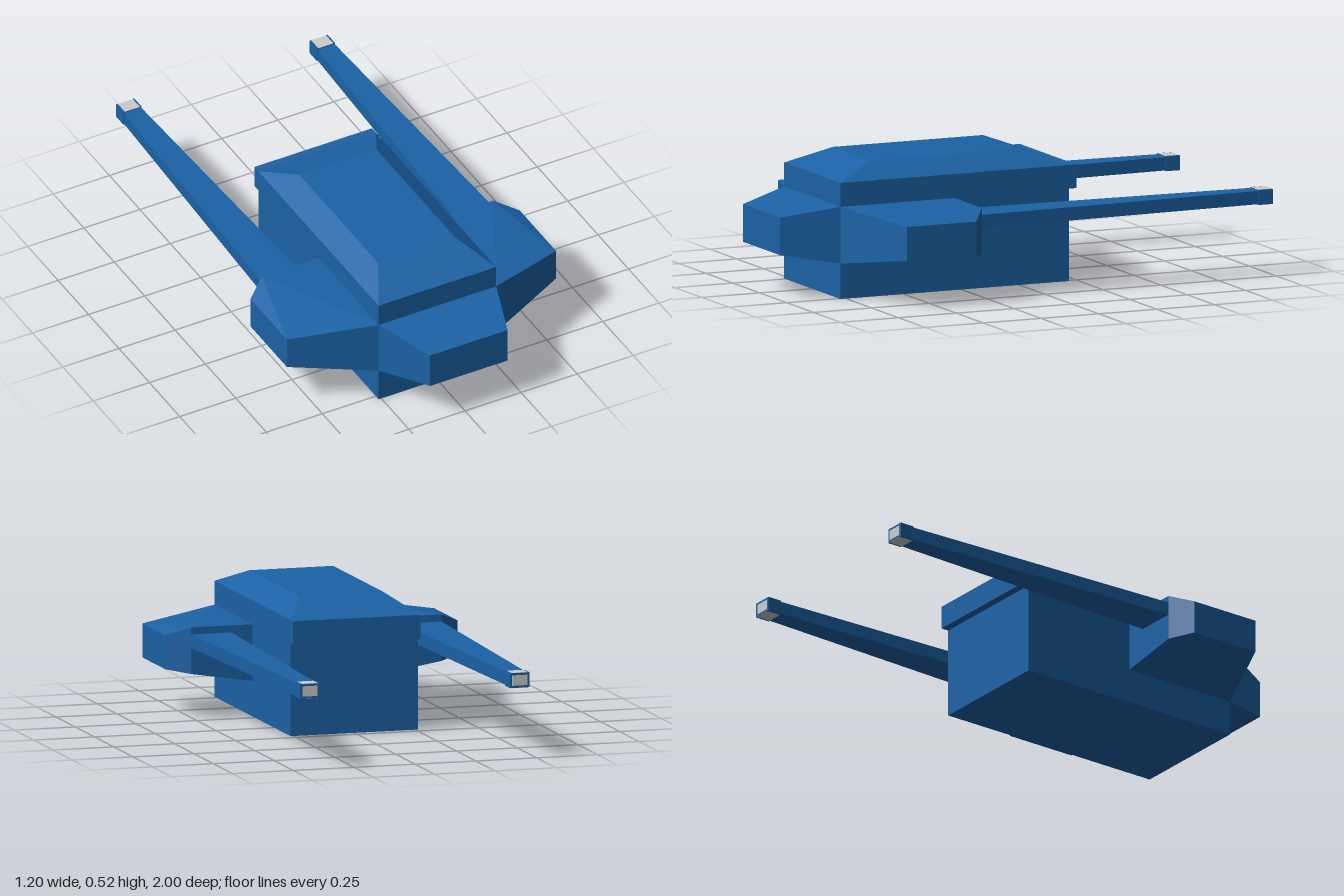
import * as THREE from 'three';
import { ConvexGeometry } from 'three/addons/geometries/ConvexGeometry.js';

const blue = new THREE.MeshStandardMaterial({ color: 0x1b62a5, flatShading: true });
const grey = new THREE.MeshStandardMaterial({ color: 0xcccccc, flatShading: true });

// Flat-faced solid spanning the given corner points
function solid(name, points, material = blue) {
  const mesh = new THREE.Mesh(new ConvexGeometry(points.map((p) => new THREE.Vector3(...p))), material);
  mesh.name = name;
  return mesh;
}

// Box between two opposite corners
function block(name, [x0, y0, z0], [x1, y1, z1], material = blue) {
  const mesh = new THREE.Mesh(new THREE.BoxGeometry(x1 - x0, y1 - y0, z1 - z0), material);
  mesh.position.set((x0 + x1) / 2, (y0 + y1) / 2, (z0 + z1) / 2);
  mesh.name = name;
  return mesh;
}

// Corner points of a rectangle at a fixed z, y or x
const rectZ = (z, x0, x1, y0, y1) => [[x0, y0, z], [x1, y0, z], [x1, y1, z], [x0, y1, z]];
const rectY = (y, x0, x1, z0, z1) => [[x0, y, z0], [x1, y, z0], [x1, y, z1], [x0, y, z1]];
const rectX = (x, y0, y1, z0, z1) => [[x, y0, z0], [x, y1, z0], [x, y1, z1], [x, y0, z1]];

export function createModel() {
  const group = new THREE.Group();
  const w = 0.262;

  // Hull, overhanging roof slab and bevelled roof
  group.add(block('hull', [-w, 0, -0.215], [w, 0.367, 0.773]));
  group.add(block('roofSlab', [-w, 0.367, -0.247], [w, 0.461, 0.773]));
  group.add(solid('roof', [
    ...rectY(0.461, -w, w, -0.215, 0.773),
    ...rectY(0.525, -0.172, 0.172, -0.045, 0.603),
  ]));

  // Tapered nose block
  group.add(solid('nose', [
    ...rectZ(0.773, -w, w, 0.141, 0.366),
    ...rectZ(1.0, -0.155, 0.19, 0.179, 0.329),
  ]));

  for (const s of [1, -1]) {
    const side = s > 0 ? 'left' : 'right';
    const mirror = (points) => points.map(([x, y, z]) => [s * x, y, z]);

    // Side pod with a clipped rear corner
    group.add(solid(side + 'Pod', mirror([
      ...rectX(w, 0.141, 0.366, 0.28, 0.773),
      ...rectX(0.6, 0.194, 0.329, 0.343, 0.642),
      [0.515, 0.366, 0.28], [0.515, 0.181, 0.28],
    ])));

    // Long tapering barrel
    group.add(solid(side + 'Barrel', mirror([
      ...rectZ(0.29, 0.348, 0.515, 0.285, 0.338),
      ...rectZ(-0.94, 0.393, 0.469, 0.285, 0.338),
    ])));

    // Tip with grey panels on its top, underside and end
    const tip = new THREE.Group();
    tip.name = side + 'BarrelTip';
    tip.position.x = s * 0.431;
    tip.add(block('tipCase', [-0.041, 0.282, -0.999], [0.041, 0.341, -0.938]));
    tip.add(block('tipPanels', [-0.033, 0.281, -0.998], [0.033, 0.342, -0.939], grey));
    tip.add(block('tipEnd', [-0.031, 0.291, -1.0], [0.031, 0.332, -0.97], grey));
    group.add(tip);
  }
  return group;
}
